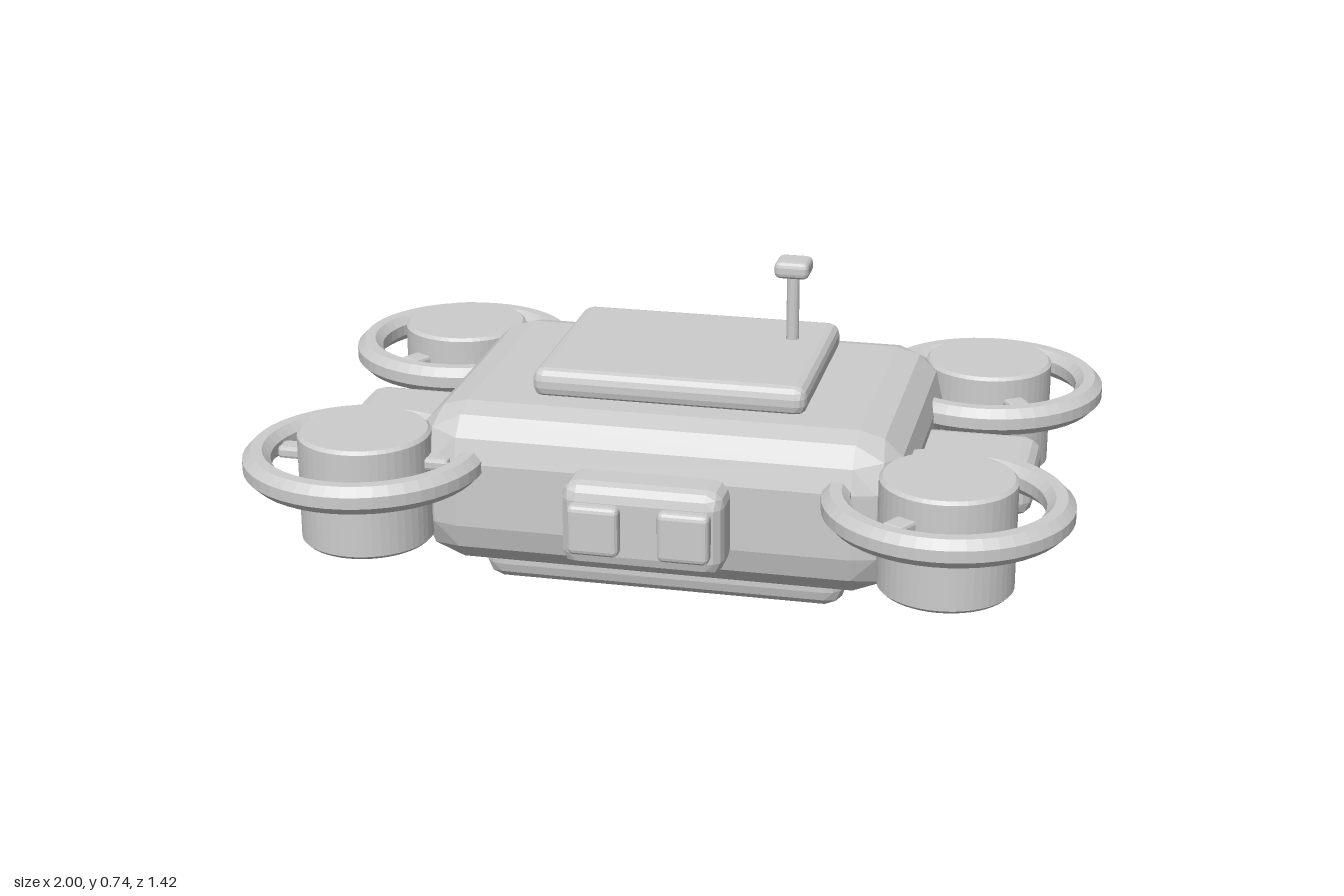
import * as THREE from 'three';
import { ConvexGeometry } from 'three/addons/geometries/ConvexGeometry.js';

// Faceted box with rounded edges, n flat steps around each edge
function bevelBox(w, h, d, r, n = 3) {
  const pts = [];
  const s = (k) => Math.sin((k / n) * Math.PI / 2);
  for (const sx of [-1, 1]) for (const sy of [-1, 1]) for (const sz of [-1, 1]) {
    for (let a = 0; a <= n; a++) for (let b = 0; a + b <= n; b++) {
      const v = new THREE.Vector3(s(a), s(b), s(n - a - b)).normalize().multiplyScalar(r);
      pts.push(new THREE.Vector3(
        sx * (w / 2 - r + v.x), sy * (h / 2 - r + v.y), sz * (d / 2 - r + v.z)));
    }
  }
  return new ConvexGeometry(pts);
}

// Flat-shaded turned shape from [radius, y] pairs listed upwards on the outside
function turned(profile, sides) {
  const g = new THREE.LatheGeometry(profile.map(([x, y]) => new THREE.Vector2(x, y)), sides).toNonIndexed();
  g.computeVertexNormals();
  return g;
}

export function createModel() {
  const root = new THREE.Group();
  root.name = 'drone';
  const grey = new THREE.MeshStandardMaterial({ color: 0xcccccc });
  grey.name = 'light grey';

  const add = (name, geometry, x, y, z, parent = root) => {
    const m = new THREE.Mesh(geometry, grey);
    m.name = name;
    m.position.set(x, y, z);
    parent.add(m);
    return m;
  };

  // Hull with plates above and below
  add('body', bevelBox(1.2, 0.402, 0.85, 0.12), 0, 0.266, 0);
  add('topPlate', bevelBox(0.676, 0.074, 0.532, 0.028), 0, 0.495, -0.023);
  add('bellyPlate', bevelBox(0.896, 0.11, 0.632, 0.045), 0, 0.055, 0);

  // Front sensor housing with two square lenses
  add('sensorHousing', bevelBox(0.39, 0.213, 0.2, 0.04), 0, 0.254, 0.43);
  for (const side of [-1, 1]) {
    add('lens', bevelBox(0.124, 0.124, 0.07, 0.014), side * 0.108, 0.257, 0.525);
    add('sidePod', bevelBox(0.4, 0.126, 0.278, 0.042), side * 0.675, 0.263, 0);
  }

  // Antenna
  add('antennaMast', turned([[0, 0], [0.016, 0], [0.016, 0.19], [0, 0.19]], 16), 0.24, 0.52, -0.127);
  add('antennaHead', bevelBox(0.086, 0.043, 0.086, 0.014), 0.24, 0.718, -0.13);

  // Guard ring: octagonal section swept around the rotor
  const section = [];
  for (let i = 0; i <= 8; i++) {
    const a = (i + 0.5) * Math.PI / 4;
    section.push([0.26 + 0.0365 * Math.cos(a), 0.0375 * Math.sin(a)]);
  }
  const ring = turned(section, 48);
  const motor = turned([[0, 0.14], [0.153, 0.14], [0.161, 0.148], [0.161, 0.408], [0.153, 0.416], [0, 0.416]], 48);
  const blade = bevelBox(0.43, 0.03, 0.055, 0.008, 2);

  // Four rotors, each with its blade at its own angle
  const rotors = [[-1, -1, 60], [1, -1, 120], [-1, 1, 0], [1, 1, 60]];
  for (const [sx, sz, degrees] of rotors) {
    const rotor = new THREE.Group();
    rotor.name = (sz > 0 ? 'front' : 'back') + (sx > 0 ? 'Left' : 'Right') + 'Rotor';
    rotor.position.set(sx * 0.706, 0, sz * 0.418);
    root.add(rotor);
    add('guardRing', ring, 0, 0.341, 0, rotor);
    add('motor', motor, 0, 0, 0, rotor);
    add('blade', blade, 0, 0.345, 0, rotor).rotation.y = THREE.MathUtils.degToRad(degrees);
  }
  return root;
}
